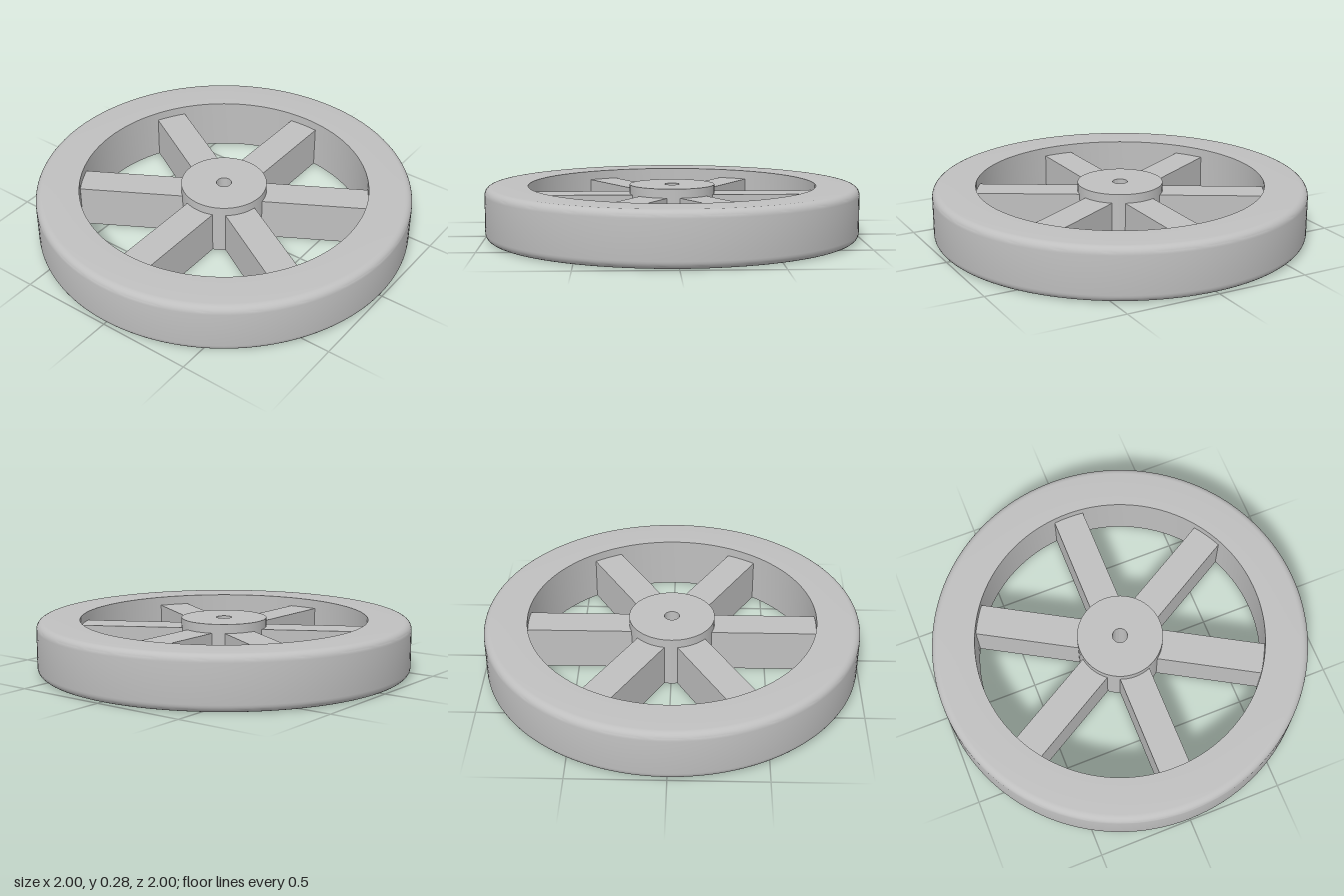
import * as THREE from 'three';
import { toCreasedNormals } from 'three/addons/utils/BufferGeometryUtils.js';

const HEIGHT = 0.28, RIM_INNER = 0.77, HUB_RADIUS = 0.228, BORE = 0.04;
const FILLET = 0.04, SPOKE_HALF = 0.083, SPOKE_HEIGHT = 0.232;

const grey = new THREE.MeshStandardMaterial({ color: 0xbfbfbf });
grey.name = 'grey metal';

function part(name, geometry) {
  const mesh = new THREE.Mesh(geometry, grey);
  mesh.name = name;
  return mesh;
}

// Closed profile turned about y, smooth round the axis and sharp at corners
function turned(points, segments) {
  const profile = [...points, points[0]].map(([r, y]) => new THREE.Vector2(r, y));
  return toCreasedNormals(new THREE.LatheGeometry(profile, segments), 0.5);
}

// Quarter-round on the rim's outer edge
function fillet(cy, from, steps = 6) {
  return Array.from({ length: steps + 1 }, (_, i) => {
    const a = from + (i / steps) * Math.PI / 2;
    return [1 - FILLET + FILLET * Math.cos(a), cy + FILLET * Math.sin(a)];
  });
}

// Straight-sided bar whose ends follow the hub and rim curves
function spokeGeometry() {
  const outer = RIM_INNER + 0.004, inner = HUB_RADIUS - 0.004;
  const a = Math.asin(SPOKE_HALF / outer), b = Math.asin(SPOKE_HALF / inner);
  const shape = new THREE.Shape();
  shape.absarc(0, 0, outer, -a, a, false);
  shape.absarc(0, 0, inner, b, -b, true);
  const geometry = new THREE.ExtrudeGeometry(shape, {
    depth: SPOKE_HEIGHT, bevelEnabled: false, curveSegments: 8,
  });
  return geometry.rotateX(-Math.PI / 2);
}

export function createModel() {
  const wheel = new THREE.Group();
  wheel.name = 'wheel';

  // Rim with rounded outer edges
  wheel.add(part('rim', turned([
    [RIM_INNER, 0],
    ...fillet(FILLET, -Math.PI / 2),
    ...fillet(HEIGHT - FILLET, 0),
    [RIM_INNER, HEIGHT],
  ], 128)));

  // Hub with axle bore
  wheel.add(part('hub', turned([
    [BORE, 0], [HUB_RADIUS, 0], [HUB_RADIUS, HEIGHT], [BORE, HEIGHT],
  ], 64)));

  // Six spokes, flush with the underside
  const spoke = spokeGeometry();
  for (let i = 0; i < 6; i++) {
    const mesh = part('spoke', spoke);
    mesh.rotation.y = Math.PI / 6 + i * Math.PI / 3;
    wheel.add(mesh);
  }
  return wheel;
}
